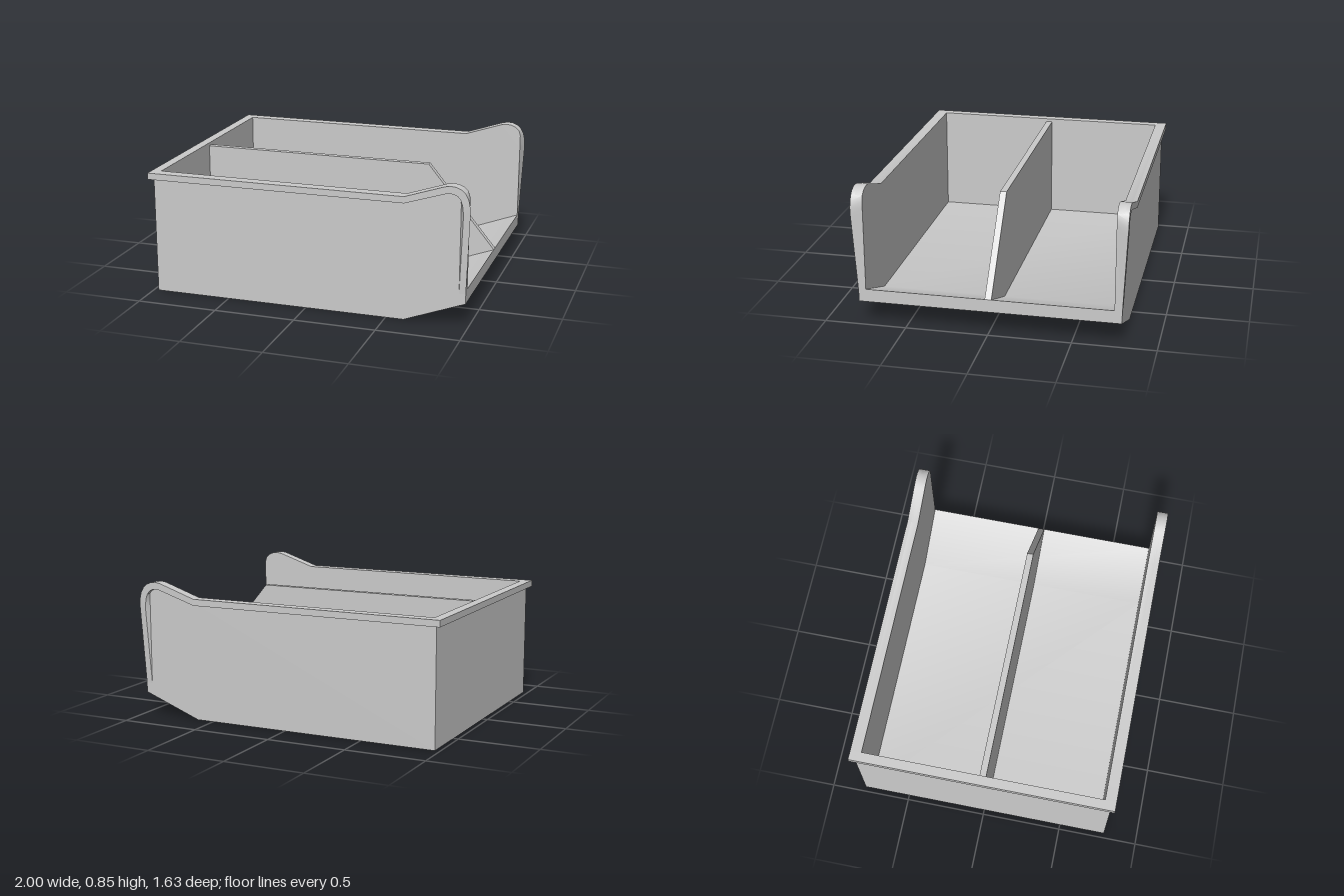
import * as THREE from 'three';
import { toCreasedNormals } from 'three/addons/utils/BufferGeometryUtils.js';

const material = new THREE.MeshStandardMaterial({ color: 0xcccccc });
const INNER = 0.745, OUTER = 0.79, END = 0.98;

// Lip stations: outer edge x, y, inner edge x, y, outermost z
const LIP = [
  [-0.94, 0.76, -0.94, 0.72, 0.815],
  [0.61, 0.76, 0.61, 0.72, 0.815],
  [0.82, 0.83, 0.83, 0.79, 0.815],
  [0.85, 0.84, 0.855, 0.798, 0.815],
  [0.885, 0.845, 0.88, 0.802, 0.815],
  [0.915, 0.842, 0.905, 0.798, 0.815],
  [0.945, 0.83, 0.925, 0.788, 0.815],
  [0.97, 0.808, 0.942, 0.768, 0.815],
  [0.988, 0.775, 0.953, 0.738, 0.815],
  [0.997, 0.735, 0.958, 0.7, 0.815],
  [1.0, 0.69, 0.959, 0.66, 0.813],
  [0.98, 0.2, 0.94, 0.2, 0.79],
];

function add(group, name, geometry) {
  const mesh = new THREE.Mesh(geometry, material);
  mesh.name = name;
  group.add(mesh);
  return mesh;
}

function box(group, name, x0, x1, y0, y1, halfZ) {
  add(group, name, new THREE.BoxGeometry(x1 - x0, y1 - y0, halfZ * 2))
    .position.set((x0 + x1) / 2, (y0 + y1) / 2, 0);
}

// Side-on outline extruded from z0 to z1
function slab(group, name, points, z0, z1) {
  const shape = new THREE.Shape(points.map(([x, y]) => new THREE.Vector2(x, y)));
  const geometry = new THREE.ExtrudeGeometry(shape, { depth: z1 - z0, bevelEnabled: false });
  add(group, name, toCreasedNormals(geometry.translate(0, 0, z0), 0.5));
}

// Flared lip that follows the wall top and tapers down its open end
function lipGeometry(side) {
  const rings = LIP.map(([ox, oy, ix, iy, z]) => [
    [Math.min(ox, END), oy, INNER],
    [ox, oy, z],
    [ix, iy, z],
    [Math.min(ix, 0.94), iy, OUTER],
  ]);
  const positions = [];
  for (let i = 0; i < rings.length - 1; i++) {
    for (let k = 0; k < 3; k++) {
      const a = rings[i][k], b = rings[i][k + 1];
      const c = rings[i + 1][k + 1], d = rings[i + 1][k];
      const corners = side > 0 ? [a, b, c, a, c, d] : [a, c, b, a, d, c];
      for (const [x, y, z] of corners) positions.push(x, y, z * side);
    }
  }
  const geometry = new THREE.BufferGeometry();
  geometry.setAttribute('position', new THREE.Float32BufferAttribute(positions, 3));
  return toCreasedNormals(geometry, 0.5);
}

export function createModel() {
  const group = new THREE.Group();
  group.name = 'openTray';

  // Floor with its raised ramp at the open end
  slab(group, 'floor', [
    [-0.97, 0], [0.61, 0], [END, 0.14], [END, 0.22], [0.62, 0.085], [-0.97, 0.085],
  ], -INNER, INNER);

  // Closed end
  box(group, 'backWall', -0.97, -0.94, 0, 0.74, OUTER);
  box(group, 'backRim', -1, -0.94, 0.72, 0.76, 0.815);

  // Side walls and their lips
  const top = LIP.map(([x, y]) => [Math.min(x, END), y]).reverse();
  const wall = [[-0.97, 0], [0.61, 0], [END, 0.14], ...top, [-0.97, 0.76]];
  for (const side of [1, -1]) {
    const label = side > 0 ? 'front' : 'rear';
    slab(group, label + 'SideWall', wall, side > 0 ? INNER : -OUTER, side > 0 ? OUTER : -INNER);
    add(group, label + 'Lip', lipGeometry(side));
  }

  // Central divider, sloping down to the open end
  slab(group, 'divider', [
    [-0.95, 0.05], [0.61, 0.05], [END, 0.2], [END, 0.22], [0.55, 0.74], [-0.95, 0.74],
  ], -0.02, 0.02);

  return group;
}
